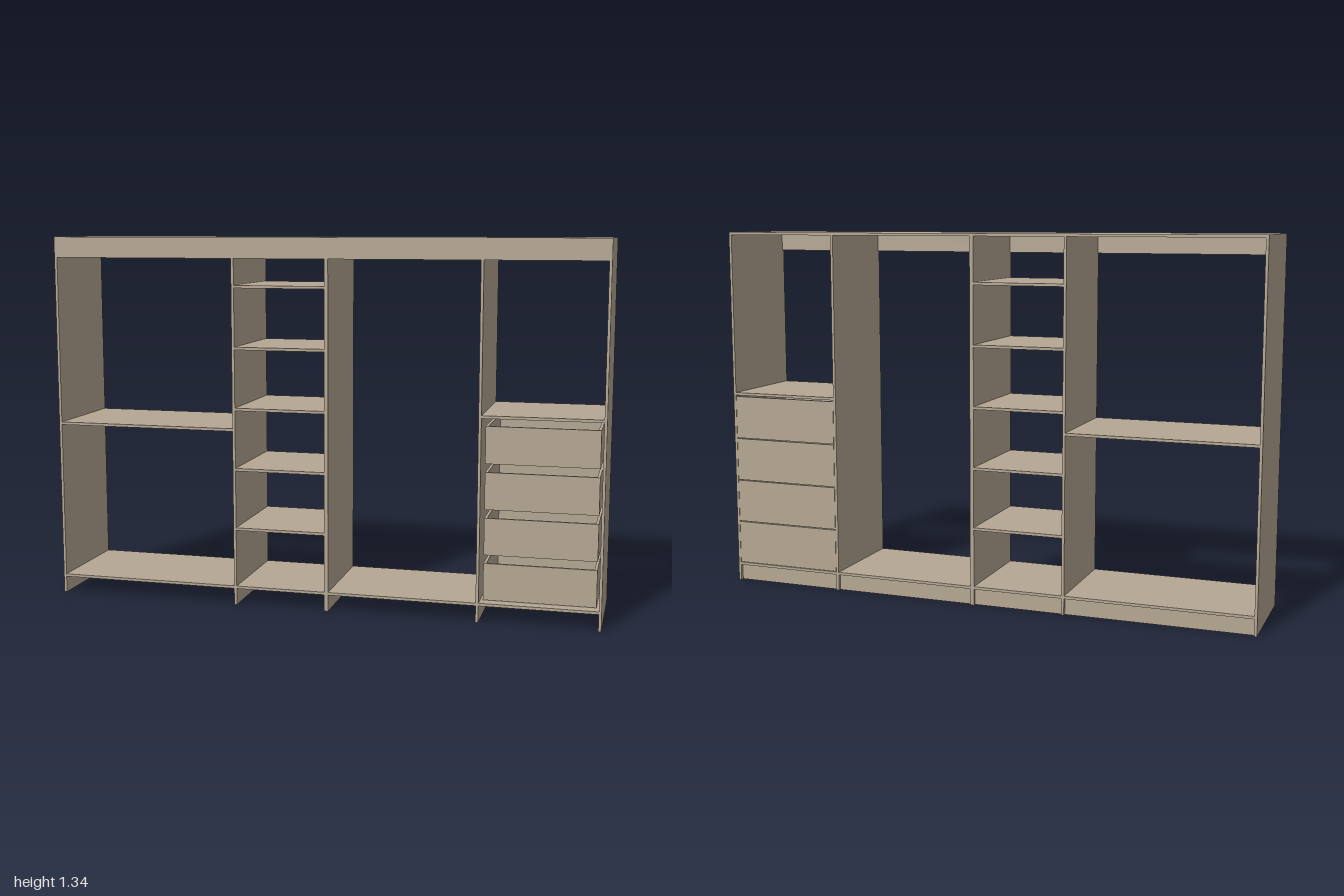
import * as THREE from 'three';

const H = 1.335, D = 0.1925, T = 0.01; // height, half depth, board thickness

export function createModel() {
  const group = new THREE.Group();
  group.name = 'wardrobe';
  const wood = new THREE.MeshStandardMaterial({ color: 0xb5a793 });
  wood.name = 'beige board';

  // Box given by its limits on each axis
  function board(name, x0, x1, y0, y1, z0, z1, parent = group) {
    const mesh = new THREE.Mesh(new THREE.BoxGeometry(x1 - x0, y1 - y0, z1 - z0), wood);
    mesh.position.set((x0 + x1) / 2, (y0 + y1) / 2, (z0 + z1) / 2);
    mesh.name = name;
    parent.add(mesh);
  }

  // Upright panel, notched at the top front for the fascia
  const profile = new THREE.Shape([
    [-D, 0], [D, 0], [D, 1.26], [D - T, 1.26], [D - T, H - T], [-D, H - T],
  ].map(([z, y]) => new THREE.Vector2(z, y)));
  function upright(name, x0, x1) {
    const geo = new THREE.ExtrudeGeometry(profile, { depth: x1 - x0, bevelEnabled: false });
    geo.rotateY(-Math.PI / 2).translate(x1, 0, 0);
    const mesh = new THREE.Mesh(geo, wood);
    mesh.name = name;
    group.add(mesh);
  }

  const uprights = [[-1, -0.99], [-0.321, -0.311], [0.02, 0.034], [0.567, 0.577], [0.99, 1]];
  uprights.forEach(([a, b], i) => upright(i % 4 ? 'divider' : 'sidePanel', a, b));

  // Top and fascia
  board('topPanel', -1, 1, H - T, H, -D, D - T);
  board('fascia', -1, 1, 1.26, H, D - T, D);

  // Floor and recessed plinth of each bay
  const bays = uprights.slice(1).map((u, i) => [uprights[i][1], u[0]]);
  for (const [a, b] of bays) {
    board('floorPanel', a, b, 0.06, 0.07, -D, D);
    board('plinth', a, b, 0, 0.06, -D + 0.012, -D + 0.012 + T);
  }

  // Shelves
  const shelf = ([a, b], y) => board('shelf', a, b, y - T / 2, y + T / 2, -D, D);
  shelf(bays[0], 0.647);
  for (let i = 0; i < 5; i++) shelf(bays[1], 0.283 + i * 0.2195);
  shelf(bays[3], 0.727);

  // Drawers: wide face panel with a smaller open box behind it
  const [left, right] = bays[3];
  for (let i = 0; i < 4; i++) {
    const drawer = new THREE.Group();
    drawer.name = 'drawer';
    group.add(drawer);
    const y = 0.072 + i * 0.162, top = y + 0.132;
    const x0 = left + 0.01, x1 = right - 0.01, z0 = -D + T, z1 = 0.153;
    board('drawerFace', left + 0.001, right - 0.001, y, y + 0.159, -D, z0, drawer);
    board('drawerSide', x0, x0 + T, y, top, z0, z1, drawer);
    board('drawerSide', x1 - T, x1, y, top, z0, z1, drawer);
    board('drawerEnd', x0 + T, x1 - T, y, top, z1 - T, z1, drawer);
    board('drawerInnerEnd', x0 + T, x1 - T, y, top, z0, z0 + T, drawer);
    board('drawerBottom', x0 + T, x1 - T, y, y + 0.006, z0 + T, z1 - T, drawer);
  }
  return group;
}
